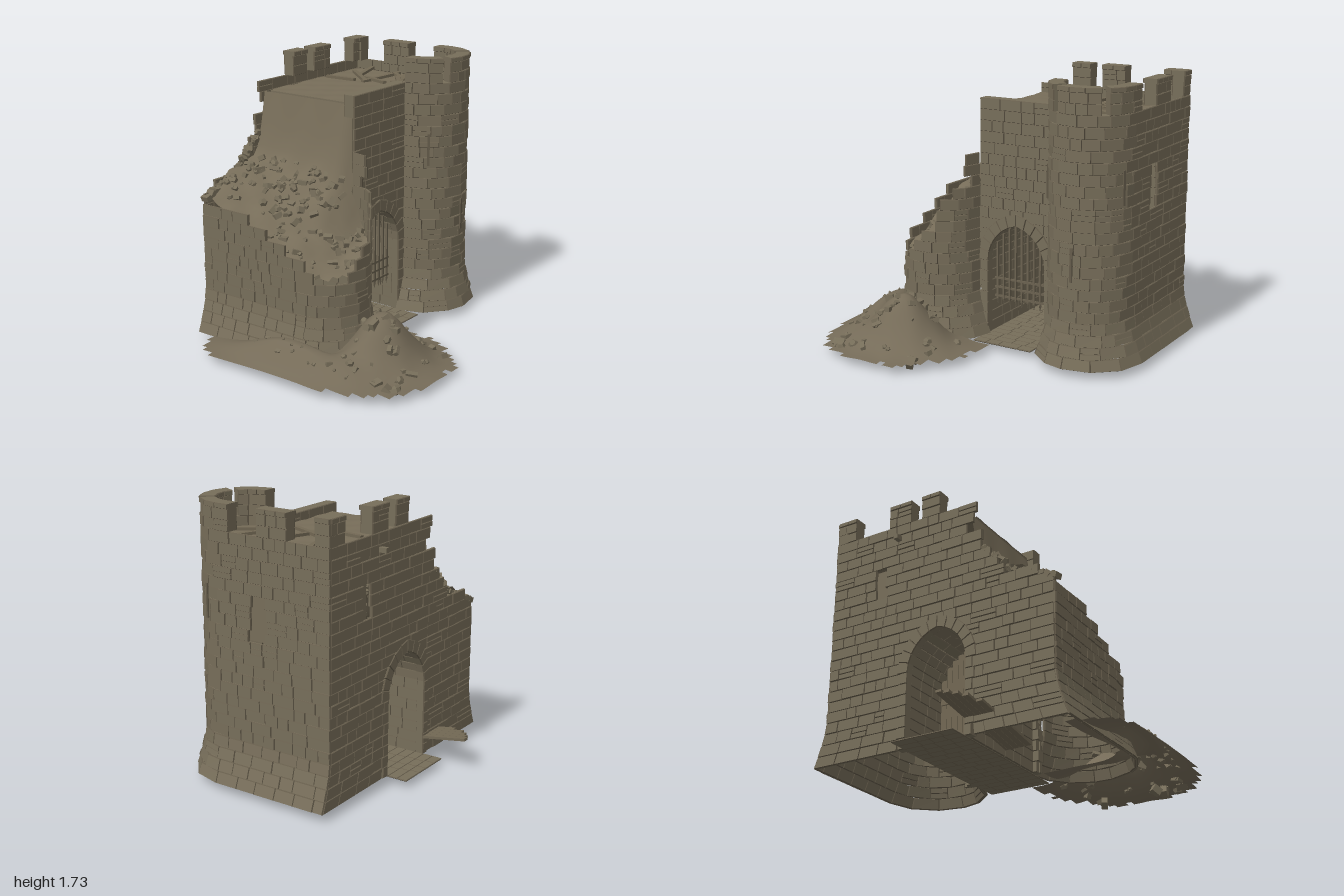
import * as THREE from 'three';
import { mergeGeometries } from 'three/addons/utils/BufferGeometryUtils.js';

let seed = 7;
const rnd = (a = 0, b = 1) => {
  seed = (seed * 16807) % 2147483647;
  return a + (b - a) * (seed / 2147483647);
};
const V = (x, y, z) => new THREE.Vector3(x, y, z);
const clamp = (t) => Math.min(1, Math.max(0, t));
const mat = (name, color, side = THREE.FrontSide) => {
  const m = new THREE.MeshStandardMaterial({ color, side });
  m.name = name;
  return m;
};
// piecewise linear curve through [t, value] pairs
const curve = (pts) => (t) => {
  if (t <= pts[0][0]) return pts[0][1];
  for (let i = 1; i < pts.length; i++) {
    const [a, u] = pts[i - 1], [b, v] = pts[i];
    if (t <= b) return u + ((v - u) * (t - a)) / (b - a);
  }
  return pts[pts.length - 1][1];
};

const GROUND = 0.045, TOP = 1.57, COURSE = (TOP - GROUND) / 22, THICK = 0.085, SKIN = 0.022;
// gate arch: centre, half width, springing height, arc radius
const GX = 0.115, GA = 0.205, GS = 0.53, GR = 0.255;
const archHalf = (y, e = 0) => {
  if (y <= GS) return GA + e;
  const q = (GR + e) ** 2 - (y - GS) ** 2;
  return q > 0 ? Math.sqrt(q) - (GR - GA) : 0;
};
const flare = (y) => 0.08 * Math.pow(clamp(1 - (y - GROUND) / 0.27), 1.4);

export function createModel() {
  const model = new THREE.Group();
  model.name = 'ruinedGatehouse';
  const stoneMat = mat('stone', 0x776e5a), mortar = mat('mortar', 0x655c4b);
  const plaster = mat('plaster', 0x776d59, THREE.DoubleSide), earth = mat('earth', 0x756b58, THREE.DoubleSide);
  const wood = mat('wood', 0x726854, THREE.DoubleSide), iron = mat('iron', 0x6b6250);
  const add = (name, geo, m) => {
    const mesh = new THREE.Mesh(geo, m);
    mesh.name = name;
    model.add(mesh);
    return mesh;
  };

  // ---- masonry: stones bevelled inside and out, the bevels form the mortar joints ----
  let faces = [], joints = [];
  const quad = (arr, a, b, c, d) => [a, b, c, a, c, d].forEach((p) => arr.push(p.x, p.y, p.z));
  const cap = (f, b) => {
    const i = Math.min(0.3, 0.0035 / f[0].distanceTo(f[1])), j = Math.min(0.3, 0.0035 / f[0].distanceTo(f[3]));
    const at = (u, v) => f[0].clone().lerp(f[1], u).lerp(f[3].clone().lerp(f[2], u), v);
    const p = [at(i, j), at(1 - i, j), at(1 - i, 1 - j), at(i, 1 - j)];
    const q = f.map((c, k) => c.clone().lerp(b[k], Math.min(0.4, 0.008 / c.distanceTo(b[k]))));
    quad(faces, ...p);
    for (let k = 0; k < 4; k++) quad(joints, q[k], q[(k + 1) % 4], p[(k + 1) % 4], p[k]);
    return q;
  };
  const stone = (f, b) => {
    const q = cap(f, b), r = cap([...b].reverse(), [...f].reverse()).reverse();
    for (let k = 0; k < 4; k++) quad(faces, r[k], r[(k + 1) % 4], q[(k + 1) % 4], q[k]);
  };
  const finish = (name) => {
    const g = new THREE.BufferGeometry();
    g.setAttribute('position', new THREE.Float32BufferAttribute(faces.concat(joints), 3));
    g.addGroup(0, faces.length / 3, 0);
    g.addGroup(faces.length / 3, joints.length / 3, 1);
    g.computeVertexNormals();
    faces = [];
    joints = [];
    return add(name, g, [stoneMat, mortar]);
  };

  // ---- wall paths: at(s, y) gives x, z and the outward normal ----
  const R = 0.27, SIDE = 0.78, LEN = SIDE + Math.PI * R;
  const rightAt = (s, y) => {
    const a = Math.max(0, (s - SIDE) / R), r = flare(y), nx = Math.cos(a), nz = Math.sin(a);
    const x = 0.65 + nx * (R + r), z = s < SIDE ? s - 0.66 : 0.12 + nz * (R + r * 0.8);
    return [x, z, nx, nz];
  };
  const leftAt = (s, y) => {
    const [x, z, nx, nz] = rightAt(LEN - s, y);
    return [0.23 - x, z, -nx, nz];
  };
  const frontAt = (s) => [0.4 - s, 0.12, 0, 1];
  const backAt = (s, y) => [-0.69 + s + (s / 0.805 - 1) * (flare(y) - 0.009), -0.662, 0, -1];
  const block = (at, s0, s1, y0, y1, out, depth) => {
    const corner = (s, y, d) => { const [x, z, nx, nz] = at(s, y); return V(x + nx * d, y, z + nz * d); };
    const ring = (d) => [corner(s1, y0, d), corner(s0, y0, d), corner(s0, y1, d), corner(s1, y1, d)];
    stone(ring(out), ring(-depth));
  };
  const row = (at, a, b, y0, y1, top, wide, depth) => {
    for (let s = a; s < b - 1e-4;) {
      let e = s + rnd(0.07, wide);
      if (b - e < 0.05) e = b;
      const mid = (s + e) / 2;
      if (y1 <= top(mid) + rnd(-0.04, 0.04) || top(mid) >= TOP) {
        const m = rnd() < 0.1 ? (y0 + y1) / 2 : y1;
        block(at, s, e, y0, m, rnd(-0.003, 0.004), depth(mid));
        if (m < y1) block(at, s, e, m, y1, rnd(-0.003, 0.004), depth(mid));
      }
      s = e;
    }
  };
  // thick(s) says where the top courses widen into a parapet; elsewhere the wall is a thin shell
  const wall = (name, at, len, top, wide, thick, holes = [], merlons = []) => {
    for (let c = 0; c < 22; c++) {
      const y0 = GROUND + c * COURSE, y1 = y0 + COURSE;
      let spans = [[0, len]];
      for (const hole of holes) {
        const h = hole((y0 + y1) / 2);
        if (h) spans = spans.flatMap(([a, b]) => [[a, Math.min(b, h[0])], [Math.max(a, h[1]), b]].filter(([p, q]) => q - p > 0.005));
      }
      spans.forEach(([a, b]) => row(at, a, b, y0, y1, top, wide, (s) => (c > 19 && thick(s) ? THICK : SKIN)));
    }
    // merlons: two courses and a coping stone
    for (const [a, b] of merlons) {
      for (const y of [TOP, TOP + 0.065]) row(at, a, b, y, y + 0.065, () => TOP, 0.12, () => THICK);
      const n = Math.ceil((b - a) / 0.1);
      for (let i = 0; i < n; i++) block(at, a + ((b - a) * i) / n, a + ((b - a) * (i + 1)) / n, TOP + 0.13, 1.73, 0.006, THICK + 0.01);
    }
    finish(name);
  };
  const gateHole = (centre) => (y) => { const h = archHalf(y, 0.04); return h > 0 ? [centre - h, centre + h] : null; };
  const windowHole = (a, b, lo, hi) => (y) => (y > lo && y < hi ? [a + rnd(-0.01, 0.015), b + rnd(-0.02, 0.01)] : null);
  const full = () => TOP;
  wall('rightTowerWall', rightAt, LEN, full, 0.16, (s) => s > SIDE, [windowHole(0.44, 0.56, 0.97, 1.23)],
    [[0, 0.1], [0.29, 0.5], [0.7, 0.98], [1.03, 1.32], [1.37, LEN]]);
  wall('frontWall', frontAt, 0.55, full, 0.17, () => true, [gateHole(0.285)]);
  wall('backWall', backAt, 1.61, curve([[0, 0.93], [0.29, 1.05], [0.47, 1.2], [0.53, 1.35], [0.56, TOP]]), 0.18, () => false,
    [gateHole(0.805), windowHole(1.2, 1.28, 1.1, 1.27)], [[0.81, 0.95], [1.03, 1.2], [1.47, 1.61]]);
  wall('ruinedTowerWall', leftAt, LEN, curve([[0, 1.35], [0.12, 1.1], [0.3, 0.92], [0.42, 0.72], [0.5, 0.6], [0.7, 0.56], [0.85, 0.68], [1.1, 0.82], [LEN, 0.97]]), 0.14, () => false);

  // ---- gate surrounds, both faces ----
  const slab = (pts, z, dir) => {
    const area = pts.reduce((t, [x, y], i) => { const [u, v] = pts[(i + 1) % 4]; return t + x * v - u * y; }, 0);
    const p = area * dir < 0 ? [...pts].reverse() : pts;
    stone(p.map(([x, y]) => V(x, y, z)), p.map(([x, y]) => V(x, y, z - dir * 0.06)));
  };
  const RING = 0.075, arcEnd = (r) => Math.acos((GR - GA) / r);
  for (const [z, dir] of [[0.13, 1], [-0.669, -1]]) for (const m of [1, -1]) {
    const P = (r, t) => { const a = arcEnd(r) * t; return [GX + m * (GA - GR + r * Math.cos(a)), GS + r * Math.sin(a)]; };
    for (let i = 0; i < 6; i++) slab([P(GR, i / 6), P(GR + RING, i / 6), P(GR + RING, (i + 1) / 6), P(GR, (i + 1) / 6)], z, dir);
    for (let i = 0; i < 7; i++) {
      const y0 = GROUND + ((GS - GROUND) * i) / 7, y1 = GROUND + ((GS - GROUND) * (i + 1)) / 7;
      const a = GX + m * GA, b = a + m * (i % 2 ? 0.065 : 0.05);
      slab([[a, y0], [b, y0], [b, y1], [a, y1]], z, dir);
    }
  }
  finish('gateArches');

  // vaulted passage lining
  const half = [];
  for (let i = 0; i < 7; i++) half.push([GA, GROUND + ((GS - GROUND) * i) / 7]);
  for (let i = 0; i <= 6; i++) { const a = (arcEnd(GR) * i) / 6; half.push([GA - GR + GR * Math.cos(a), GS + GR * Math.sin(a)]); }
  const profile = [...half.map(([x, y]) => [GX - x, y]), ...half.slice(0, -1).reverse().map(([x, y]) => [GX + x, y])];
  for (let i = 0; i < profile.length - 1; i++) {
    const [ax, ay] = profile[i], [bx, by] = profile[i + 1], l = Math.hypot(bx - ax, by - ay) / SKIN;
    const ox = (ay - by) / l, oy = (bx - ax) / l;
    for (let z1 = 0.08; z1 > -0.619;) {
      let z0 = z1 - rnd(0.08, 0.16);
      if (z0 < -0.56) z0 = -0.62;
      const ring = (x, y) => [V(ax + x, ay + y, z1), V(ax + x, ay + y, z0), V(bx + x, by + y, z0), V(bx + x, by + y, z1)];
      stone(ring(0, 0), ring(ox, oy));
      z1 = z0;
    }
  }
  finish('passageVault');

  // paved passage floor
  for (let i = 0; i < 17; i++) {
    const z1 = 0.29 - i * 0.0641, z0 = z1 - 0.0641;
    for (let x = -0.1; x < 0.319;) {
      let e = x + rnd(0.08, 0.14);
      if (0.32 - e < 0.05) e = 0.32;
      const r = (y) => [V(x, y, z1), V(e, y, z1), V(e, y, z0), V(x, y, z0)];
      stone(r(0.048), r(0.038));
      x = e;
    }
  }
  finish('paving');

  // plastered recesses behind the windows
  add('sideWindowRecess', new THREE.BoxGeometry(0.01, 0.34, 0.22).translate(0.84, 1.1, -0.16), plaster);
  add('backWindowRecess', new THREE.BoxGeometry(0.2, 0.28, 0.01).translate(0.55, 1.18, -0.58), plaster);

  // roof deck with its round tower end
  const deck = new THREE.Shape();
  deck.moveTo(-0.1, 0.59);
  deck.lineTo(0.845, 0.59);
  deck.lineTo(0.845, -0.12);
  deck.absarc(0.65, -0.12, 0.2, 0, -Math.PI, true);
  deck.lineTo(0.45, -0.05);
  deck.lineTo(-0.1, -0.05);
  add('roofDeck', new THREE.ExtrudeGeometry(deck, { depth: 0.02, bevelEnabled: false, curveSegments: 16 }).rotateX(-Math.PI / 2).translate(0, 1.49, 0), plaster);

  // ---- height fields for the worn roof, the collapse and the spoil heap ----
  const field = (name, x0, x1, z0, z1, step, h, keep, m) => {
    const nx = Math.round((x1 - x0) / step), nz = Math.round((z1 - z0) / step), pos = [], idx = [];
    for (let j = 0; j <= nz; j++) for (let i = 0; i <= nx; i++) {
      const x = x0 + i * step, z = z0 + j * step;
      pos.push(x, h(x, z), z);
      if (i < nx && j < nz && keep(x + step / 2, z + step / 2)) {
        const a = j * (nx + 1) + i, d = a + nx + 1;
        idx.push(a, d, d + 1, a, d + 1, a + 1);
      }
    }
    const g = new THREE.BufferGeometry();
    g.setAttribute('position', new THREE.Float32BufferAttribute(pos, 3));
    g.setIndex(idx);
    g.computeVertexNormals();
    return add(name, g, m);
  };
  field('wornRoof', -0.1, 0.84, -0.58, 0.04, 0.04, (x, z) => 1.517 + 0.004 * Math.sin(x * 27 + z * 9) * Math.cos(z * 31 - x * 8), () => true, plaster);
  const slope = curve([[-0.65, 0.62], [-0.45, 0.75], [-0.3, 0.95], [-0.2, 1.1], [-0.15, 1.25], [-0.1, 1.5]]);
  const collapse = (x, z) => {
    const back = 0.3 * clamp((0.05 - z) / 0.65) * clamp((-0.2 - x) / 0.25);
    const h = slope(x) + back + 0.018 * Math.sin(x * 31) * Math.cos(z * 23);
    return Math.min(1.5, 0.5 + (h - 0.5) * (1 - 0.6 * clamp((z - 0.04) / 0.18)));
  };
  const inRuin = (x, z) => z < 0.12 || Math.hypot(x + 0.41, z - 0.12) < 0.25;
  field('collapsedInterior', -0.66, -0.1, -0.64, 0.36, 0.04, collapse, inRuin, plaster);
  const bump = (x, z, cx, cz, w, d) => Math.exp(-(((x - cx) / w) ** 2) - ((z - cz) / d) ** 2);
  const heap = (x, z) => GROUND + 0.325 * bump(x, z, -0.45, 0.55, 0.23, 0.2) + 0.17 * bump(x, z, -0.81, 0.15, 0.12, 0.38)
    + 0.008 * Math.sin(x * 29) * Math.sin(z * 25) * bump(x, z, -0.5, 0.5, 0.4, 0.4);
  const inHeap = (x, z) => Math.abs((x + 0.48) / 0.53) ** 2.6 + Math.abs((z - 0.2) / 0.76) ** (z < 0.2 ? 7 : 2.4) < 1 + 0.06 * Math.sin(x * 40 + z * 33)
    && !(z < 0.12 && x > -0.7) && !(z < 0.32 && x > -0.15) && !(z > 0.76 && x > -0.12);
  field('rubbleHeap', -1, 0.04, -0.56, 0.96, 0.04, heap, inHeap, earth);

  // ---- loose stones ----
  const rock = (x, y, z, r) => {
    const g = rnd() < 0.7 ? new THREE.BoxGeometry(1.8, 1.1, 1.2).toNonIndexed() : new THREE.DodecahedronGeometry(0.9);
    return g.scale(r * rnd(0.7, 1.2), r * rnd(0.6, 1), r * rnd(0.7, 1.2)).rotateX(rnd(0, 3)).rotateY(rnd(0, 6)).rotateZ(rnd(-0.6, 0.6)).translate(x, y, z);
  };
  const scatter = (name, n, x0, x1, z0, z1, h, keep, r0, r1) => {
    const list = [];
    for (let t = 0; list.length < n && t < 3000; t++) {
      const x = rnd(x0, x1), z = rnd(z0, z1);
      if (keep(x, z)) list.push(rock(x, h(x, z), z, rnd(r0, r1)));
    }
    add(name, mergeGeometries(list), stoneMat);
  };
  scatter('heapStones', 46, -0.8, -0.1, 0.35, 0.85, heap, inHeap, 0.014, 0.042);
  scatter('outerHeapStones', 14, -0.92, -0.78, -0.2, 0.6, heap, inHeap, 0.01, 0.02);
  scatter('fallenStones', 110, -0.5, -0.2, -0.6, 0.3, collapse, inRuin, 0.018, 0.038);
  scatter('strayStones', 25, -0.64, -0.5, -0.6, 0.2, collapse, inRuin, 0.015, 0.03);
  const edge = [[-0.65, 0.8], [-0.62, 0.74], [-0.22, 0.81]].map(([x, z]) =>
    new THREE.BoxGeometry(0.06, 0.05, 0.04).toNonIndexed().rotateZ(rnd(0.4, 0.6)).rotateY(rnd(0, 3)).translate(x, 0.0352, z));
  add('edgeStones', mergeGeometries(edge), stoneMat);
  const crest = [];
  for (let i = 0; i < 30; i++) {
    const s = rnd(0, 0.5), [x, z] = backAt(s, 1);
    crest.push(rock(x, curve([[0, 0.93], [0.29, 1.05], [0.5, 1.25]])(s) - 0.01, z + 0.03, rnd(0.022, 0.038)));
  }
  add('brokenCrest', mergeGeometries(crest), stoneMat);

  // ---- portcullis ----
  const bars = [];
  for (let i = 0; i < 9; i++) {
    const x = GX - 0.18 + i * 0.045;
    let top = 0.78;
    while (archHalf(top) < Math.abs(x - GX)) top -= 0.01;
    bars.push(new THREE.BoxGeometry(0.013, top - 0.26, 0.013).translate(x, (top + 0.26) / 2, 0.05));
    bars.push(new THREE.ConeGeometry(0.011, 0.045, 4).rotateX(Math.PI).translate(x, 0.243, 0.05));
  }
  for (const y of [0.28, 0.34, 0.4]) bars.push(new THREE.BoxGeometry(0.4, 0.013, 0.009).translate(GX, y, 0.05));
  add('portcullis', mergeGeometries(bars), iron);

  // ---- door leaves: one still hung, one fallen ----
  const leaf = () => {
    const planks = [];
    for (let i = 0; i < 5; i++) {
      const x = 0.02 + i * 0.04;
      let top = 0.78;
      while (archHalf(top) < x + 0.015) top -= 0.01;
      planks.push(new THREE.BoxGeometry(0.038, top - 0.05, 0.016).translate(x, (top + 0.05) / 2, 0));
    }
    for (const y of [0.15, 0.45]) planks.push(new THREE.BoxGeometry(0.19, 0.03, 0.012).translate(0.1, y, -0.012));
    return mergeGeometries(planks);
  };
  add('hungDoor', leaf().translate(GX, 0, -0.3), wood);
  add('fallenDoor', leaf().rotateY(Math.PI).rotateX(-Math.PI / 2 + 0.16).translate(-0.09, 0.085, -0.2), wood);

  // ---- fallen roof beams ----
  const beams = [];
  const spots = [[0.42, -0.42, 1.5], [0.55, -0.36, 0.9], [0.6, -0.22, -0.2], [0.5, -0.2, 1.2], [0.52, -0.02, 0.7], [0.62, -0.06, 0.5], [0.68, 0.02, -0.5], [0.7, -0.42, 0.3], [0.6, 0.06, -0.9], [0.66, -0.1, 1]];
  spots.forEach(([x, z, a], i) => beams.push(new THREE.BoxGeometry(0.24 + 0.05 * (i % 3), 0.018, 0.028).rotateZ(rnd(-0.08, 0.08)).rotateY(a).translate(x, 1.53, z)));
  add('fallenBeams', mergeGeometries(beams), wood);

  // arrow slits and a back corbel
  [[0.88, 1.14], [1.2, 0.68], [1.46, 1.14]].forEach(([s, y], i) => {
    const [x, z, nx, nz] = rightAt(s, y);
    const slit = add('arrowSlit' + (i + 1), new THREE.BoxGeometry(0.016, 0.21, 0.009), mortar);
    slit.position.set(x + nx * 0.003, y, z + nz * 0.003);
    slit.rotation.y = Math.atan2(nx, nz);
  });
  add('corbel', new THREE.BoxGeometry(0.03, 0.03, 0.08).translate(0.42, 1.47, -0.67), stoneMat);
  return model;
}
